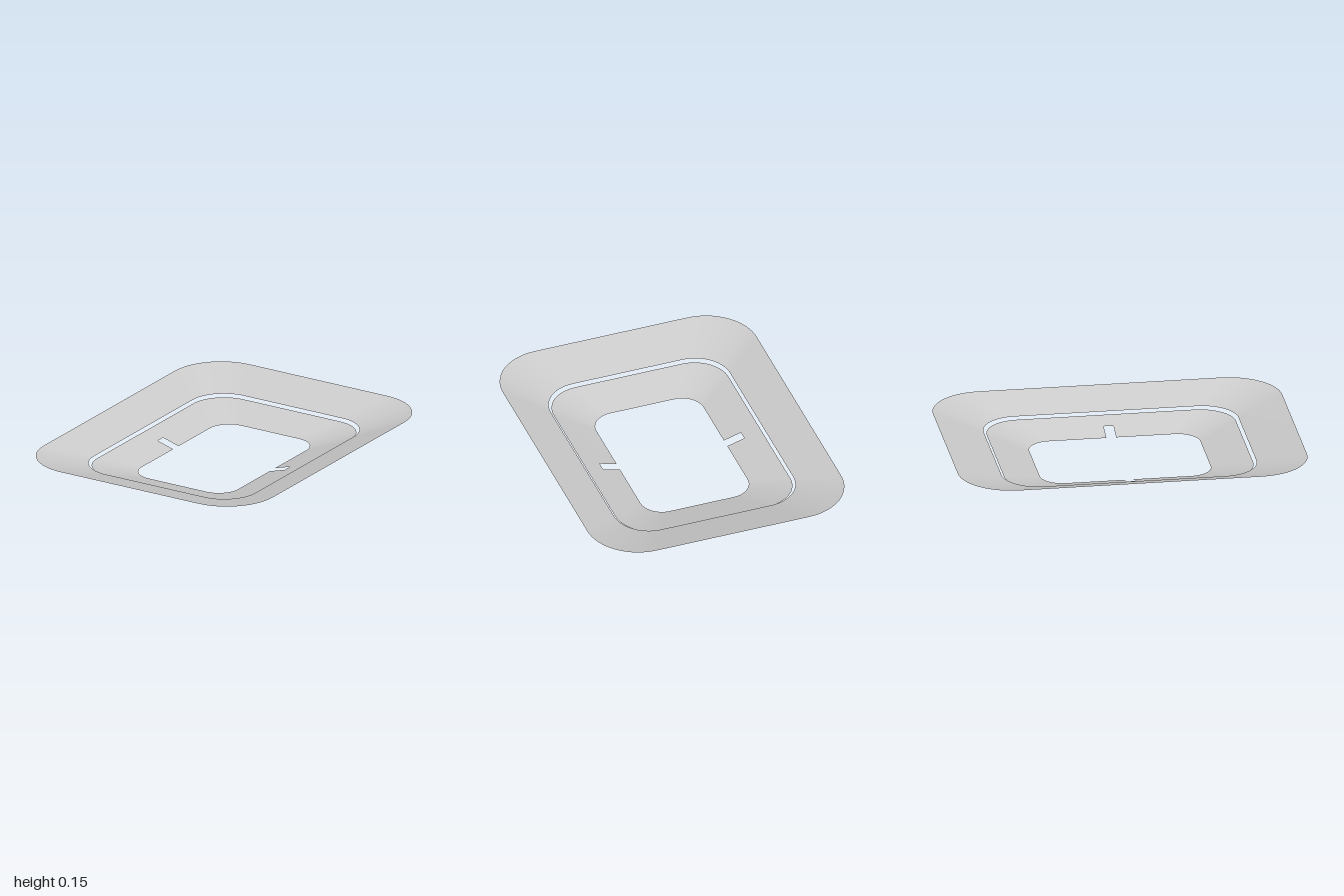
import * as THREE from 'three';

const SEG = 16;      // segments per rounded corner
const SLOT = 0.028;  // half width of the side slots

// Rounded rectangle in the xz plane, with extra points either side of z = 0
function outline({ x, z, r, y }) {
  const pts = [];
  for (let c = 0; c < 4; c++) {
    const sx = c === 0 || c === 3 ? 1 : -1;
    const sz = c < 2 ? 1 : -1;
    if (c % 2 === 0) {
      pts.push(new THREE.Vector3(sx * x, y, -sx * SLOT), new THREE.Vector3(sx * x, y, sx * SLOT));
    }
    for (let i = 0; i <= SEG; i++) {
      const a = (c + i / SEG) * Math.PI / 2;
      pts.push(new THREE.Vector3(sx * (x - r) + r * Math.cos(a), y, sz * (z - r) + r * Math.sin(a)));
    }
  }
  return pts;
}

// Sloping band between two outlines; slotDepth cuts that share out of each side
function band(name, innerSpec, outerSpec, material, slotDepth = 0) {
  const inner = outline(innerSpec), outer = outline(outerSpec);
  const n = inner.length, pos = [], index = [];
  for (let i = 0; i < n; i++) pos.push(...inner[i].toArray(), ...outer[i].toArray());
  for (let i = 0; i < n; i++) {
    const j = (i + 1) % n;
    let a = 2 * i, b = 2 * j;
    if (slotDepth && i % (n / 2) === 0) {
      a = pos.length / 3;
      b = a + 1;
      for (const k of [i, j]) pos.push(...inner[k].clone().lerp(outer[k], slotDepth).toArray());
    }
    index.push(a, b, 2 * j + 1, a, 2 * j + 1, 2 * i + 1);
  }
  const geo = new THREE.BufferGeometry();
  geo.setAttribute('position', new THREE.Float32BufferAttribute(pos, 3));
  geo.setIndex(index);
  geo.computeVertexNormals();
  const mesh = new THREE.Mesh(geo, material);
  mesh.name = name;
  return mesh;
}

export function createModel() {
  const group = new THREE.Group();
  group.name = 'slopedFrame';
  const grey = new THREE.MeshStandardMaterial({ color: 0xcccccc, side: THREE.DoubleSide });
  grey.name = 'light grey';

  // Wide upper rim
  group.add(band('outerRim',
    { x: 0.54, z: 0.73, r: 0.21, y: 0.075 },
    { x: 0.765, z: 1.0, r: 0.305, y: 0.15 }, grey));

  // Lower rim with a slot in each long side
  group.add(band('innerRim',
    { x: 0.323, z: 0.49, r: 0.13, y: 0 },
    { x: 0.527, z: 0.714, r: 0.205, y: 0.06 }, grey, 0.505));

  return group;
}
